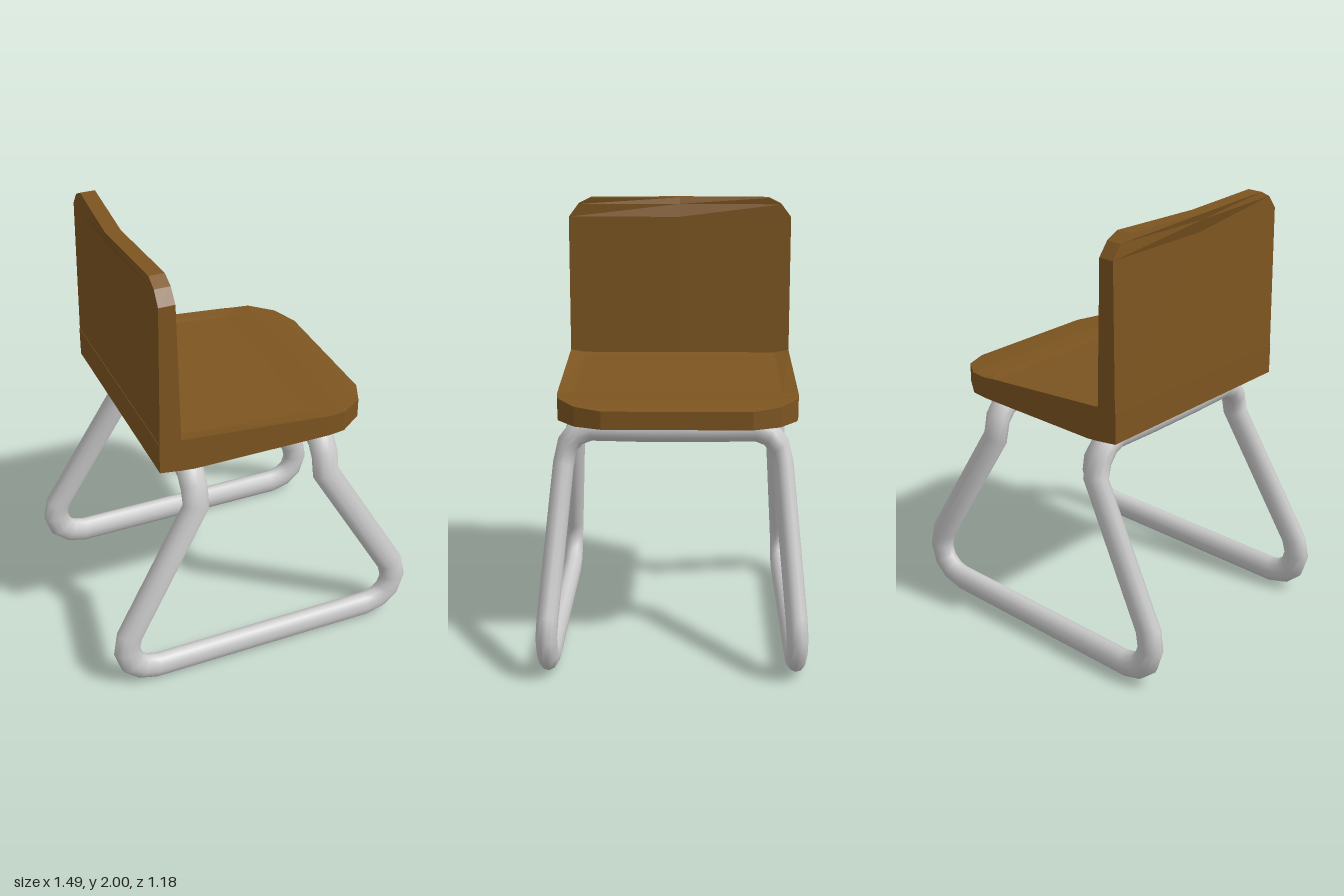
import * as THREE from 'three';

// Skin between equal-length rings of [x, y, z], with both ends capped.
function loft(rings) {
  const n = rings[0].length, index = [];
  for (let i = 0; i < rings.length - 1; i++) {
    for (let j = 0; j < n; j++) {
      const a = i * n + j, b = i * n + (j + 1) % n;
      index.push(a, b, b + n, a, b + n, a + n);
    }
  }
  const last = (rings.length - 1) * n;
  for (let k = 1; k < n - 1; k++) {
    const p = (1 + k) % n, q = (2 + k) % n;
    index.push(1, q, p, last + 1, last + p, last + q);
  }
  const g = new THREE.BufferGeometry();
  g.setAttribute('position', new THREE.Float32BufferAttribute(rings.flat(2), 3));
  g.setIndex(index);
  const flat = g.toNonIndexed();
  flat.computeVertexNormals();
  return flat;
}

// Closed path whose samples are exactly the given points.
class ClosedPath extends THREE.Curve {
  constructor(points) {
    super();
    this.points = points;
  }
  at(i) {
    const n = this.points.length;
    return this.points[((i % n) + n) % n];
  }
  getPointAt(u, target = new THREE.Vector3()) {
    return target.copy(this.at(Math.round(u * this.points.length)));
  }
  getPoint(u, target) {
    return this.getPointAt(u, target);
  }
  getTangentAt(u, target = new THREE.Vector3()) {
    const i = Math.round(u * this.points.length), p = this.at(i);
    const before = p.clone().sub(this.at(i - 1)).normalize();
    const after = this.at(i + 1).clone().sub(p).normalize();
    return target.copy(before.add(after).normalize());
  }
}

export function createModel() {
  const model = new THREE.Group();
  const wood = new THREE.MeshStandardMaterial({ color: 0x7d5520, flatShading: true });
  const metal = new THREE.MeshStandardMaterial({ color: 0xcccccc });
  const add = (name, geometry, material) => {
    const mesh = new THREE.Mesh(geometry, material);
    mesh.name = name;
    model.add(mesh);
  };
  const midZ = -0.02;

  // Seat: sections [x, half width, bottom, top, dish depth] from back to front
  const seat = [
    [-0.488, 0.535, 1.12, 1.26, 0],
    [-0.39, 0.535, 1.106, 1.262, 0.012],
    [-0.33, 0.535, 1.1, 1.257, 0.015],
    [0.25, 0.535, 1.1, 1.207, 0.008],
    [0.31, 0.535, 1.1, 1.2, 0],
    [0.39, 0.525, 1.1, 1.199, 0],
    [0.5, 0.445, 1.1, 1.188, 0],
    [0.553, 0.325, 1.1, 1.18, 0],
  ].map(([x, w, low, top, dish]) => [
    [x, low, midZ + w], [x, low, midZ - w], [x, top, midZ - w],
    [x, top - dish, midZ - w + 0.07], [x, top - dish, midZ + w - 0.07], [x, top, midZ + w],
  ]);
  add('seat', loft(seat), wood);

  // Backrest: sections [y, half width, front x, back x, bow at the middle]
  const backrest = [
    [1.24, 0.535, -0.389, -0.486, 0],
    [1.91, 0.535, -0.403, -0.476, 0],
    [1.97, 0.49, -0.404, -0.475, 0.02],
    [2.0, 0.43, -0.405, -0.474, 0.03],
  ].map(([y, w, front, back, bow]) => [
    [front, y, midZ + w], [front - bow, y, midZ], [front, y, midZ - w],
    [back, y, midZ - w], [back - bow, y, midZ], [back, y, midZ + w],
  ]);
  add('backrest', loft(backrest), wood);

  // Frame: one bent tube; a quarter of its path, from crossbar to floor rail
  const quarter = [
    [0.317, 1.046, 0.15], [0.317, 1.05, 0.37], [0.317, 1.025, 0.43], [0.317, 0.97, 0.472],
    [0.317, 0.88, 0.492], [0.667, 0.28, 0.54], [0.683, 0.2, 0.545], [0.66, 0.125, 0.545],
    [0.61, 0.082, 0.545], [0.54, 0.0635, 0.545],
  ];
  const flatten = 0.75; // the tube is oval, narrower across the chair
  const path = [];
  for (const [sx, sz] of [[1, 1], [-1, 1], [-1, -1], [1, -1]]) {
    const points = quarter.map(([x, y, z]) => new THREE.Vector3(sx * x, y, sz * z / flatten));
    path.push(...(sx * sz > 0 ? points : points.reverse()));
  }
  const tube = new THREE.TubeGeometry(new ClosedPath(path), path.length, 0.0625, 12, true);
  tube.scale(1, 1, flatten);
  add('sledFrame', tube, metal);

  return model;
}
